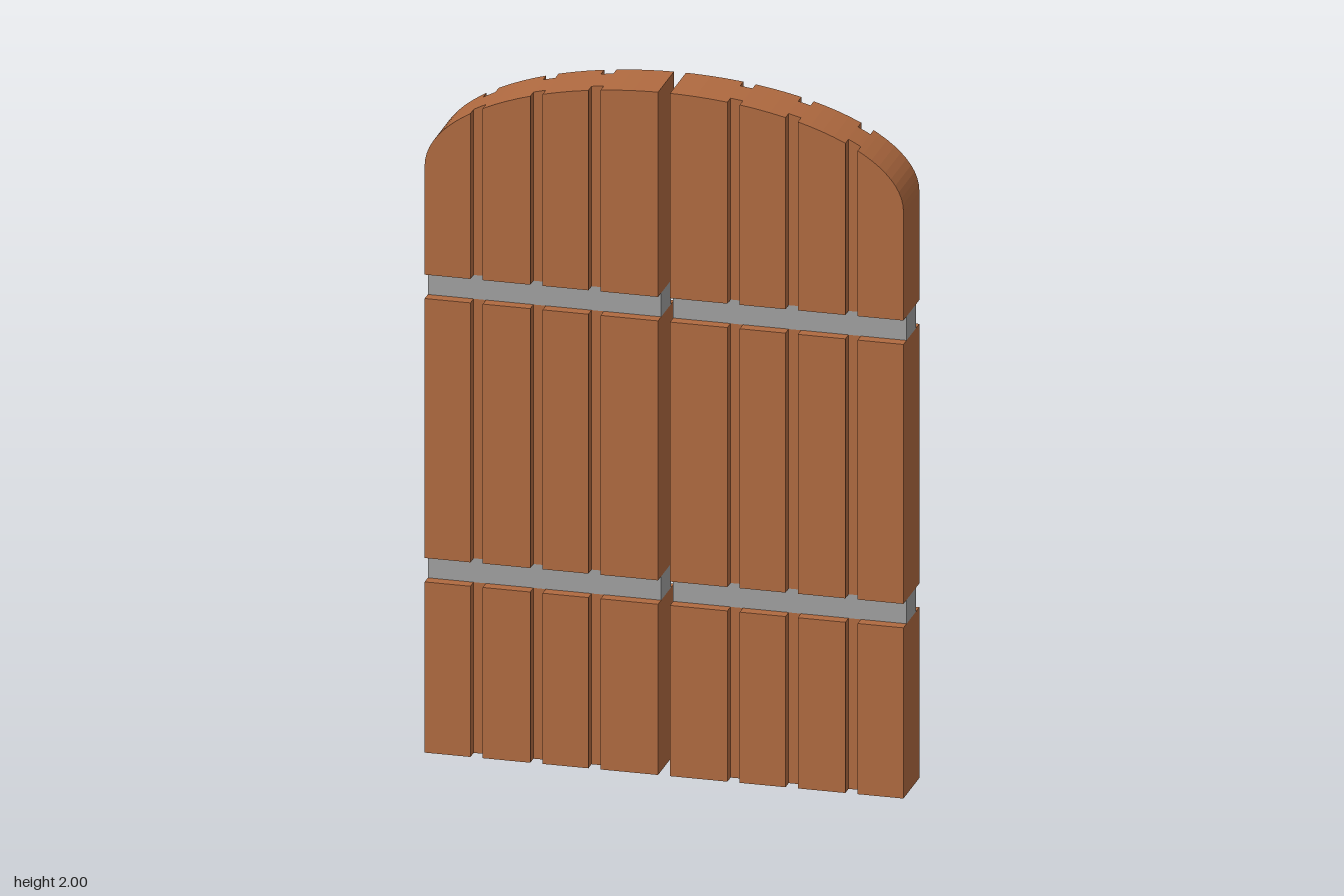
import * as THREE from 'three';

const PLANKS = [[0.017, 0.18], [0.215, 0.345], [0.38, 0.515], [0.55, 0.68]];
const ROWS = [[0, 0.5], [0.57, 1.33], [1.4, null]]; // null: ends at the arch
const BANDS = [[0.5, 0.57], [1.33, 1.4]];
const HALF_WIDTH = 0.68, SPRING = 1.72, RISE = 0.28;
const PLANK_DEPTH = 0.166, CORE_DEPTH = 0.1, ARC_STEPS = 24;

const archY = (x) => SPRING + RISE * Math.sqrt(Math.max(0, 1 - (x / HALF_WIDTH) ** 2));

// Upright board between x0 and x1, with a flat or arched top
function boardGeometry(x0, x1, bottom, top, depth) {
  const pts = [[x0, bottom], [x1, bottom]];
  if (top !== null) {
    pts.push([x1, top], [x0, top]);
  } else {
    pts.push([x1, archY(x1)]);
    for (let i = 1; i < 2 * ARC_STEPS; i++) {
      const x = HALF_WIDTH * Math.cos((i / (2 * ARC_STEPS)) * Math.PI);
      if (x < x1 - 0.001 && x > x0 + 0.001) pts.push([x, archY(x)]);
    }
    pts.push([x0, archY(x0)]);
  }
  const shape = new THREE.Shape(pts.map(([x, y]) => new THREE.Vector2(x, y)));
  return new THREE.ExtrudeGeometry(shape, { depth, bevelEnabled: false }).translate(0, 0, -depth / 2);
}

export function createModel() {
  const wood = new THREE.MeshStandardMaterial({ color: 0xb06a40 });
  const metal = new THREE.MeshStandardMaterial({ color: 0xa0a0a0 });
  const model = new THREE.Group();
  model.name = 'doubleDoor';

  for (const side of [1, -1]) {
    const leaf = new THREE.Group();
    leaf.name = side > 0 ? 'leftDoorLeaf' : 'rightDoorLeaf';
    model.add(leaf);

    const addBoard = (name, a, b, bottom, top, depth, material) => {
      const [x0, x1] = side > 0 ? [a, b] : [-b, -a];
      const mesh = new THREE.Mesh(boardGeometry(x0, x1, bottom, top, depth), material);
      mesh.name = name;
      leaf.add(mesh);
    };

    // Thick planks with thinner strips forming the grooves between them
    for (const [bottom, top] of ROWS) {
      PLANKS.forEach(([a, b], i) => {
        addBoard('plank', a, b, bottom, top, PLANK_DEPTH, wood);
        if (i < PLANKS.length - 1) {
          addBoard('grooveStrip', b, PLANKS[i + 1][0], bottom, top, CORE_DEPTH, wood);
        }
      });
    }

    // Recessed metal bands
    for (const [bottom, top] of BANDS) {
      addBoard('metalBand', PLANKS[0][0], HALF_WIDTH, bottom, top, CORE_DEPTH, metal);
    }
  }
  return model;
}
